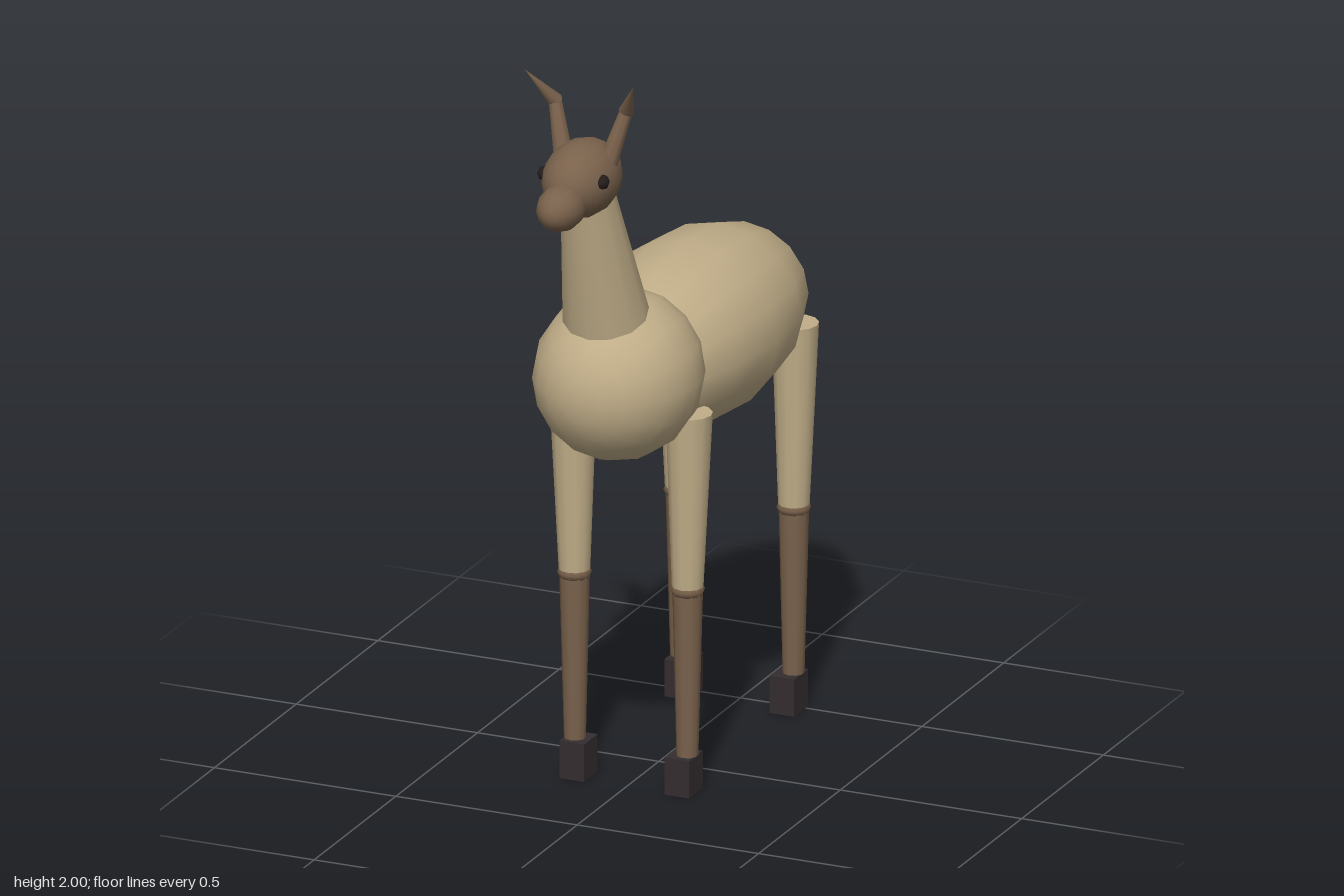
import * as THREE from 'three';

export function createModel() {
  const mat = (name, color) => {
    const m = new THREE.MeshStandardMaterial({ color });
    m.name = name;
    return m;
  };
  const tan = mat('tan coat', 0xc0ad88);
  const brown = mat('brown coat', 0x7a624c);
  const dark = mat('dark hoof', 0x352d30);
  const black = mat('eye black', 0x241d1c);

  const model = new THREE.Group();
  model.name = 'hornedAnimal';

  const add = (name, geometry, material, parent = model) => {
    const mesh = new THREE.Mesh(geometry, material);
    mesh.name = name;
    parent.add(mesh);
    return mesh;
  };

  // Ellipsoid with its poles along z
  const ellipsoid = (name, material, pos, radii, w = 16, h = 8) => {
    const g = new THREE.SphereGeometry(1, w, h).rotateX(Math.PI / 2);
    g.scale(...radii).translate(...pos);
    return add(name, g, material);
  };

  // Tapered limb running from point a to point b
  const limb = (name, material, a, b, ra, rb, sides, parent = model) => {
    const from = new THREE.Vector3(...a);
    const dir = new THREE.Vector3(...b).sub(from);
    const mesh = add(name, new THREE.CylinderGeometry(rb, ra, dir.length(), sides), material, parent);
    mesh.position.copy(from).addScaledVector(dir, 0.5);
    mesh.quaternion.setFromUnitVectors(new THREE.Vector3(0, 1, 0), dir.normalize());
    return mesh;
  };

  // Trunk
  ellipsoid('body', tan, [0, 1.105, -0.17], [0.25, 0.235, 0.5]);
  ellipsoid('chest', tan, [0, 1.125, 0.245], [0.215, 0.22, 0.237], 16, 12);
  limb('neck', tan, [0, 1.31, 0.325], [0, 1.69, 0.442], 0.11, 0.067, 12);
  limb('tail', tan, [0, 1.1, -0.63], [0, 1.068, -0.675], 0.02, 0.011, 8);

  // Head
  ellipsoid('head', brown, [0, 1.727, 0.47], [0.095, 0.1, 0.135], 16, 12);
  ellipsoid('snout', brown, [0, 1.69, 0.597], [0.06, 0.06, 0.081], 12, 10);

  for (const s of [1, -1]) {
    const side = s > 0 ? 'left' : 'right';
    ellipsoid(side + 'Eye', black, [s * 0.08, 1.745, 0.523], [0.018, 0.02, 0.02], 8, 6);

    // Horn: a stem and a forward bent tip
    const horn = new THREE.Group();
    horn.name = side + 'Horn';
    model.add(horn);
    limb('hornStem', brown, [s * 0.062, 1.77, 0.447], [s * 0.1, 1.91, 0.415], 0.026, 0.017, 8, horn);
    limb('hornTip', brown, [s * 0.097, 1.9, 0.415], [s * 0.15, 2, 0.487], 0.02, 0, 8, horn);

    // Legs
    for (const [end, z, top, hoofZ] of [['Front', 0.17, 1.02, 0.17], ['Back', -0.48, 1.04, -0.473]]) {
      const leg = new THREE.Group();
      leg.name = side + end + 'Leg';
      model.add(leg);
      limb('upperLeg', tan, [s * 0.156, 0.55, z], [s * 0.16, top, z], 0.04, 0.06, 12, leg);
      limb('lowerLeg', brown, [s * 0.155, 0.1, z], [s * 0.156, 0.55, z], 0.028, 0.039, 10, leg);
      const knee = add('knee', new THREE.SphereGeometry(1, 12, 6), brown, leg);
      knee.scale.set(0.044, 0.026, 0.044);
      knee.position.set(s * 0.156, 0.545, z);
      const hoof = add('hoof', new THREE.BoxGeometry(0.068, 0.1, 0.084), dark, leg);
      hoof.position.set(s * 0.145, 0.05, hoofZ);
    }
  }
  return model;
}
